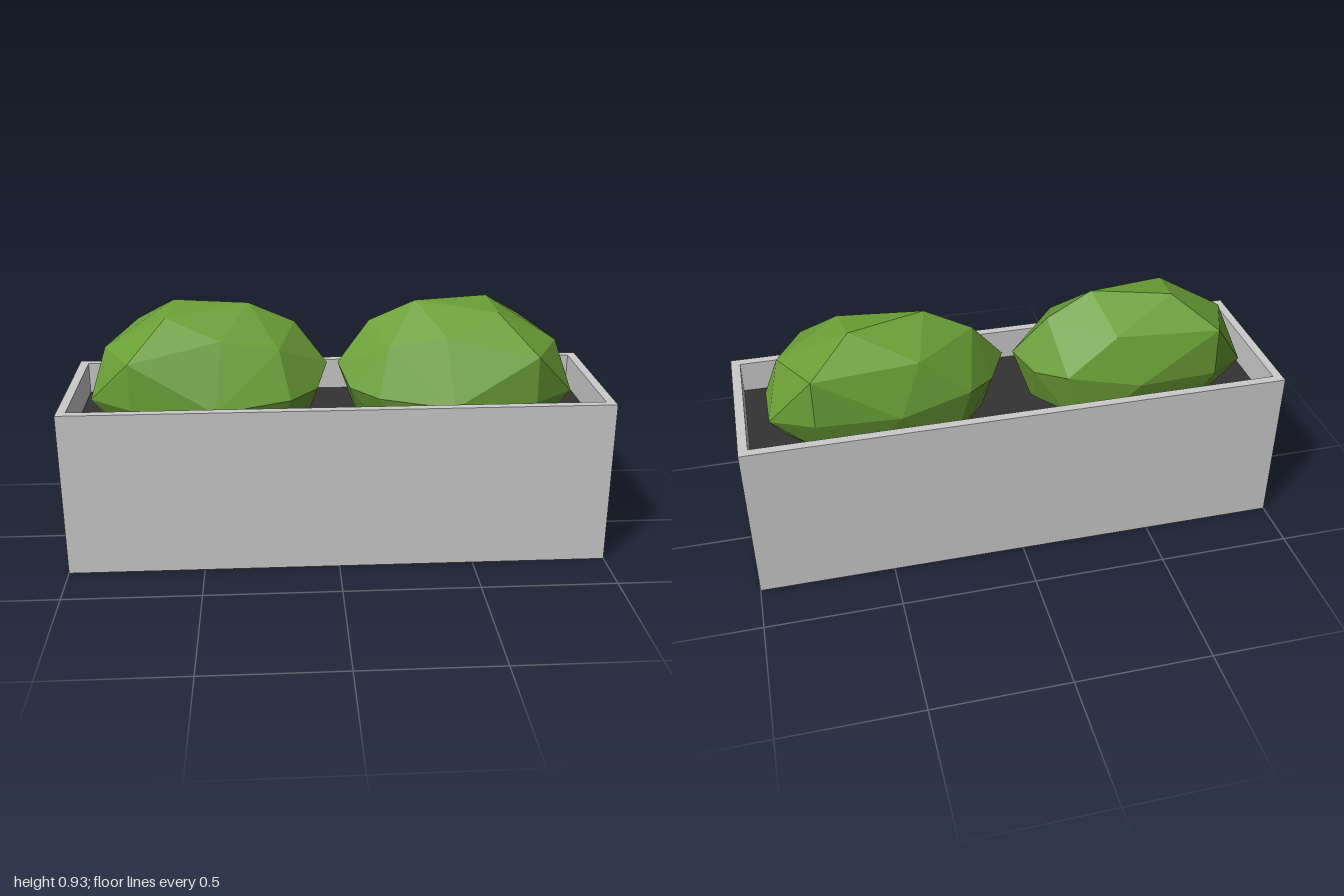
import * as THREE from 'three';
import { ConvexGeometry } from 'three/addons/geometries/ConvexGeometry.js';

const HALF_W = 1, HALF_D = 0.31, HEIGHT = 0.62, WALL = 0.034, SOIL_Y = 0.5;

// Skin rectangular rings, given as [inset, y], into one flat-sided open shell.
function rectangularShell(rings) {
  const corners = [[1, 1], [1, -1], [-1, -1], [-1, 1]];
  const point = ([inset, y], [sx, sz]) => [sx * (HALF_W - inset), y, sz * (HALF_D - inset)];
  const positions = [];
  for (let r = 0; r < rings.length - 1; r++) {
    for (let i = 0; i < 4; i++) {
      const p = corners[i], q = corners[(i + 1) % 4];
      const a = point(rings[r], p), b = point(rings[r], q);
      const c = point(rings[r + 1], q), d = point(rings[r + 1], p);
      positions.push(...a, ...b, ...c, ...a, ...c, ...d);
    }
  }
  const geometry = new THREE.BufferGeometry();
  geometry.setAttribute('position', new THREE.Float32BufferAttribute(positions, 3));
  geometry.computeVertexNormals();
  return geometry;
}

// Corner points of one faceted shrub, from crown to root.
const SHRUB = [
  // crown
  [0.30, 0.93, -0.02], [0.58, 0.925, -0.10], [0.60, 0.90, 0.07],
  // shoulders
  [0.13, 0.85, -0.04], [0.19, 0.79, 0.13], [0.40, 0.83, 0.145], [0.73, 0.77, 0.21],
  [0.83, 0.78, 0.02], [0.73, 0.82, -0.225], [0.35, 0.83, -0.20],
  // widest part
  [0.01, 0.70, 0], [0.05, 0.63, 0.10], [0.07, 0.66, -0.10], [0.15, 0.62, 0.20],
  [0.17, 0.68, -0.20], [0.42, 0.60, 0.265], [0.43, 0.65, -0.262], [0.73, 0.60, 0.215],
  [0.73, 0.64, -0.23], [0.885, 0.60, 0.09], [0.885, 0.60, -0.10],
  // underside
  [0.10, 0.45, 0], [0.25, 0.38, 0.15], [0.25, 0.40, -0.17], [0.60, 0.36, 0.15],
  [0.60, 0.38, -0.16], [0.80, 0.43, 0], [0.45, 0.31, 0],
];

export function createModel() {
  const model = new THREE.Group();
  model.name = 'planter';
  const add = (name, geometry, material) => {
    const mesh = new THREE.Mesh(geometry, material);
    mesh.name = name;
    model.add(mesh);
    return mesh;
  };

  // Bottomless trough: outer walls, rim, and inner walls down to the soil
  const grey = new THREE.MeshStandardMaterial({ color: 0xcccccc, flatShading: true, side: THREE.DoubleSide });
  add('trough', rectangularShell([[0, 0], [0, HEIGHT], [WALL, HEIGHT], [WALL, SOIL_Y]]), grey);

  // Soil sheet
  const soil = new THREE.PlaneGeometry(2 * (HALF_W - WALL), 2 * (HALF_D - WALL)).rotateX(-Math.PI / 2);
  add('soil', soil, new THREE.MeshStandardMaterial({ color: 0x333333, side: THREE.DoubleSide }))
    .position.y = SOIL_Y;

  // Two mirrored shrubs
  const green = new THREE.MeshStandardMaterial({ color: 0x6a9e35, flatShading: true });
  for (const side of [1, -1]) {
    const shift = side < 0 ? -0.02 : 0;
    const points = SHRUB.map(([x, y, z]) => new THREE.Vector3(side * x + shift, y, z));
    add(side > 0 ? 'leftShrub' : 'rightShrub', new ConvexGeometry(points), green);
  }
  return model;
}
